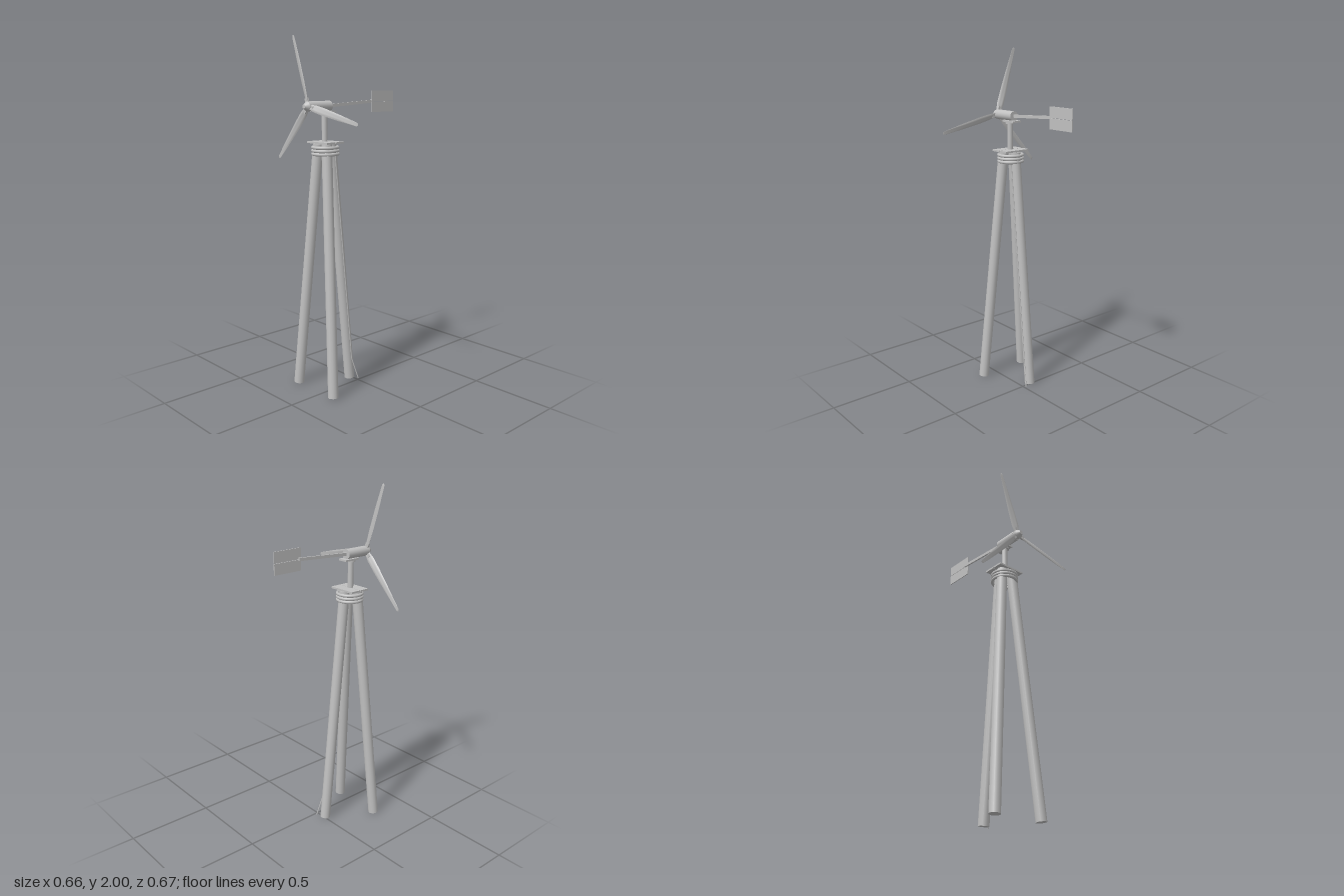
import * as THREE from 'three';
import { toCreasedNormals } from 'three/addons/utils/BufferGeometryUtils.js';

const grey = new THREE.MeshStandardMaterial({ color: 0xc0c0c0 });
grey.name = 'galvanised grey';

const CX = -0.063, CZ = 0.186;   // tower axis
const HUB_Y = 1.622;

function add(parent, name, geometry, x = 0, y = 0, z = 0) {
  const mesh = new THREE.Mesh(geometry, grey);
  mesh.name = name;
  mesh.position.set(x, y, z);
  parent.add(mesh);
  return mesh;
}

// Round rod between two points
function rod(parent, name, from, to, radius, sides = 16) {
  const a = new THREE.Vector3(...from), b = new THREE.Vector3(...to);
  const dir = b.clone().sub(a);
  const mesh = add(parent, name, new THREE.CylinderGeometry(radius, radius, dir.length(), sides));
  mesh.position.copy(a).add(b).multiplyScalar(0.5);
  mesh.quaternion.setFromUnitVectors(new THREE.Vector3(0, 1, 0), dir.normalize());
  return mesh;
}

// Twisted, tapering blade lofted along +y from lens-shaped sections
function bladeGeometry() {
  // radius along blade, chord, thickness, twist
  const sections = [
    [0.02, 0, 0, 0.45], [0.02, 0.028, 0.012, 0.45], [0.06, 0.04, 0.01, 0.42],
    [0.13, 0.041, 0.008, 0.3], [0.25, 0.033, 0.006, 0.17], [0.36, 0.022, 0.004, 0.08],
    [0.385, 0.019, 0.003, 0.06], [0.394, 0.012, 0.003, 0.06], [0.397, 0, 0, 0.06],
  ];
  const n = 10, positions = [], index = [];
  sections.forEach(([r, chord, thick, twist], i) => {
    for (let j = 0; j < n; j++) {
      const t = (j / n) * Math.PI * 2;
      const u = Math.cos(t) * chord / 2, v = Math.sin(t) * thick / 2;
      positions.push(u * Math.cos(twist) - v * Math.sin(twist), r,
        u * Math.sin(twist) + v * Math.cos(twist));
      if (i < sections.length - 1) {
        const a = i * n + j, b = i * n + (j + 1) % n;
        index.push(a, a + n, b, a + n, b + n, b);
      }
    }
  });
  const g = new THREE.BufferGeometry();
  g.setAttribute('position', new THREE.Float32BufferAttribute(positions, 3));
  g.setIndex(index);
  return toCreasedNormals(g, 0.9);
}

export function createModel() {
  const model = new THREE.Group();
  model.name = 'windTurbine';

  // Tripod of leaning poles
  const tripod = new THREE.Group();
  tripod.name = 'tripod';
  model.add(tripod);
  for (const deg of [30, 150, 270]) {
    const c = Math.cos(deg * Math.PI / 180), s = Math.sin(deg * Math.PI / 180);
    rod(tripod, 'leg', [CX + c * 0.176, 0.003, CZ + s * 0.176],
      [CX + c * 0.041, 1.415, CZ + s * 0.041], 0.03, 14);
  }

  // Rope lashing around the pole tops
  for (let i = 0; i < 3; i++) {
    const ring = add(model, 'lashingRing', new THREE.TorusGeometry(0.07, 0.009, 8, 32),
      CX, 1.361 + i * 0.018, CZ);
    ring.rotation.x = Math.PI / 2;
  }

  // Two-plank platform
  for (const z of [0.153, 0.217]) {
    add(model, 'platformPlank', new THREE.BoxGeometry(0.168, 0.01, 0.061), CX, 1.424, z);
  }

  // Mast, swivel collar and mounting plate
  rod(model, 'mast', [CX, 1.39, CZ + 0.004], [CX, 1.59, CZ + 0.004], 0.016);
  rod(model, 'swivelCollar', [CX, 1.577, CZ + 0.004], [CX, 1.588, CZ + 0.004], 0.026);
  add(model, 'mountingPlate', new THREE.BoxGeometry(0.057, 0.01, 0.1), CX, 1.592, 0.176);

  // Generator body
  rod(model, 'generator', [CX, HUB_Y, 0.153], [CX, HUB_Y, 0.293], 0.028, 24);

  // Rotor: hub, nose cone and three blades
  const rotor = new THREE.Group();
  rotor.name = 'rotor';
  rotor.position.set(CX, HUB_Y, 0.304);
  model.add(rotor);
  rod(rotor, 'hub', [0, 0, -0.013], [0, 0, 0.009], 0.026, 20);
  const nose = add(rotor, 'noseCone', new THREE.CylinderGeometry(0.011, 0.026, 0.022, 20), 0, 0, 0.02);
  nose.rotation.x = Math.PI / 2;
  const blade = bladeGeometry();
  for (const deg of [108, 228, 348]) {
    const arm = new THREE.Group();
    arm.name = 'bladeArm';
    arm.rotation.z = (deg - 90) * Math.PI / 180;
    rotor.add(arm);
    add(arm, 'blade', blade);
    add(arm, 'bladeClamp', new THREE.BoxGeometry(0.02, 0.03, 0.013), 0, 0.03, 0);
  }

  // Tail boom, rising slightly towards the vane
  const boom = add(model, 'tailBoom', new THREE.BoxGeometry(0.009, 0.017, 0.345), CX, 1.632, -0.009);
  boom.rotation.x = 0.06;

  // Tail vane in two panels
  for (const y of [1.6095, 1.672]) {
    add(model, 'tailVane', new THREE.BoxGeometry(0.005, 0.06, 0.175), -0.0545, y, -0.25);
  }

  // Cable running down the back leg and out at the foot
  const cable = new THREE.Group();
  cable.name = 'cable';
  model.add(cable);
  rod(cable, 'cableRun', [-0.031, 1.4, 0.146], [-0.031, 0.13, 0.02], 0.003, 8);
  rod(cable, 'cableEnd', [-0.031, 0.13, 0.02], [-0.013, 0.002, -0.016], 0.003, 8);

  return model;
}
